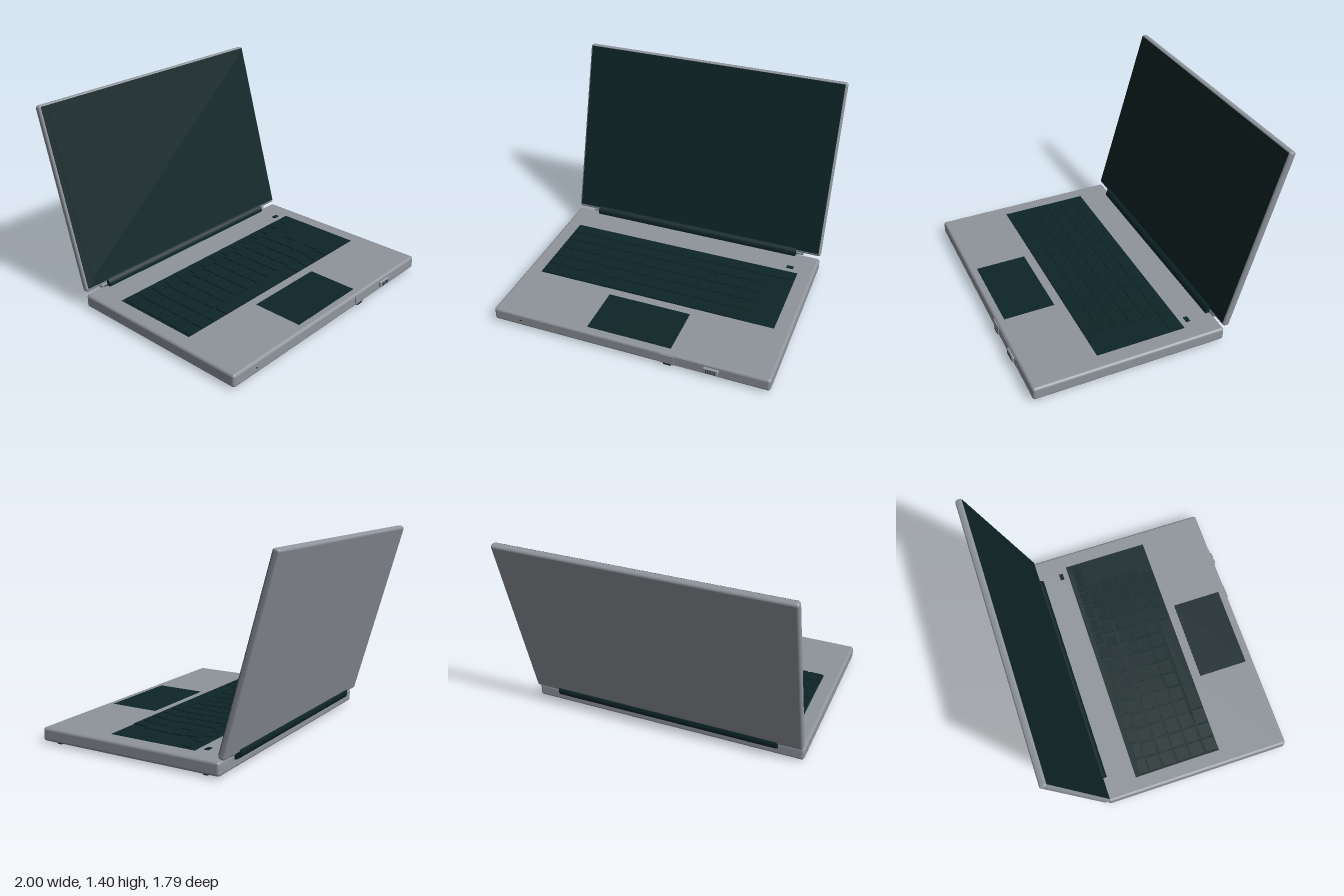
import * as THREE from 'three';
import { RoundedBoxGeometry } from 'three/addons/geometries/RoundedBoxGeometry.js';

const material = (name, color) => {
  const m = new THREE.MeshStandardMaterial({ color });
  m.name = name;
  return m;
};

export function createModel() {
  const casing = material('casing grey', 0x8f949c);
  const dark = material('dark teal black', 0x0e2527);

  const model = new THREE.Group();
  model.name = 'laptop';

  const add = (parent, name, geometry, mat, x = 0, y = 0, z = 0) => {
    const mesh = new THREE.Mesh(geometry, mat);
    mesh.name = name;
    mesh.position.set(x, y, z);
    parent.add(mesh);
    return mesh;
  };
  // Box given by its extents on each axis
  const block = (parent, name, mat, [x0, x1], [y0, y1], [z0, z1], radius = 0) => {
    const size = [x1 - x0, y1 - y0, z1 - z0];
    const geometry = radius
      ? new RoundedBoxGeometry(...size, 4, radius)
      : new THREE.BoxGeometry(...size);
    return add(parent, name, geometry, mat, (x0 + x1) / 2, (y0 + y1) / 2, (z0 + z1) / 2);
  };
  const rod = (parent, name, mat, radius, x0, x1, y, z) => {
    const geometry = new THREE.CylinderGeometry(radius, radius, x1 - x0, 24).rotateZ(Math.PI / 2);
    return add(parent, name, geometry, mat, (x0 + x1) / 2, y, z);
  };

  // Base with keyboard deck, touchpad and power button
  const top = 0.112;
  const base = new THREE.Group();
  base.name = 'base';
  model.add(base);
  block(base, 'baseShell', casing, [-1, 1], [0.017, top], [-0.51, 0.876], 0.02);
  block(base, 'keyboardDeck', dark, [-0.89, 0.885], [top - 0.003, top + 0.002], [-0.265, 0.385]);
  block(base, 'touchpad', dark, [-0.307, 0.302], [top - 0.003, top + 0.002], [0.45, 0.82]);
  block(base, 'powerButton', dark, [0.79, 0.84], [top - 0.003, top + 0.004], [-0.335, -0.305]);

  // Keyboard rows: z extent, left edge, key widths
  const keyboard = new THREE.Group();
  keyboard.name = 'keyboard';
  base.add(keyboard);
  const repeat = (n, w) => Array(n).fill(w);
  const rows = [
    [-0.225, -0.163, repeat(15, 0.1167)],
    [-0.153, -0.06, [0.107, ...repeat(11, 0.1125), 0.22]],
    [-0.043, 0.052, [0.107, ...repeat(12, 0.1125), 0.123]],
    [0.066, 0.16, [0.107, ...repeat(11, 0.1125), 0.235]],
    [0.175, 0.27, [0.107, ...repeat(12, 0.1125), 0.113]],
    [0.29, 0.383, [0.107, 0.113, 0.12, 0.755, 0.113, 0.113, 0.113, 0.1]],
  ];
  for (const [z0, z1, widths] of rows) {
    let x = -0.875;
    for (const w of widths) {
      block(keyboard, 'key', dark, [x, x + w - 0.016], [top, top + 0.009], [z0, z1]);
      x += w;
    }
  }

  // Front latch, side panel and ribbed button
  const front = 0.876;
  block(base, 'frontPanel', casing, [0.345, 0.692], [0.03, 0.1], [front - 0.01, front + 0.001]);
  block(base, 'latch', casing, [0.25, 0.345], [0.03, 0.1], [front - 0.01, front + 0.006]);
  block(base, 'latchLip', dark, [0.27, 0.325], [0.023, 0.034], [front - 0.012, front + 0.008]);
  block(base, 'buttonSurround', casing, [0.545, 0.655], [0.042, 0.09], [front - 0.03, front + 0.016], 0.012);
  for (let row = 0; row < 2; row++) {
    for (let i = 0; i < 5; i++) {
      const x = 0.566 + i * 0.015;
      const y = 0.053 + row * 0.016;
      block(base, 'buttonVent', dark, [x, x + 0.008], [y, y + 0.009], [front + 0.01, front + 0.018]);
    }
  }
  block(base, 'statusLight', dark, [-0.8, -0.785], [0.06, 0.066], [front - 0.004, front + 0.002]);

  // Four rubber feet
  for (const side of [-1, 1]) {
    for (const z of [-0.393, 0.765]) {
      block(base, 'foot', dark, [side * 0.787 - 0.18, side * 0.787 + 0.18], [0, 0.03], [z - 0.02, z + 0.02], 0.008);
    }
  }

  // Hinge barrel with end pins
  rod(model, 'hinge', dark, 0.045, -0.82, 0.815, 0.123, -0.512);
  rod(model, 'hingePins', casing, 0.014, -0.87, 0.87, 0.123, -0.512);

  // Lid, leaning back
  const lid = new THREE.Group();
  lid.name = 'lid';
  lid.position.set(0, 0.765, -0.699);
  lid.rotation.x = -0.277;
  model.add(lid);
  block(lid, 'lidShell', casing, [-1, 1], [-0.6625, 0.6625], [-0.025, 0.025], 0.018);
  block(lid, 'screenBezel', dark, [-0.985, 0.985], [-0.643, 0.65], [0.02, 0.028]);
  block(lid, 'display', dark, [-0.945, 0.945], [-0.59, 0.6], [0.026, 0.03]);
  const camera = new THREE.CylinderGeometry(0.008, 0.008, 0.004, 16).rotateX(Math.PI / 2);
  add(lid, 'webcam', camera, dark, 0, 0.625, 0.029);

  return model;
}
